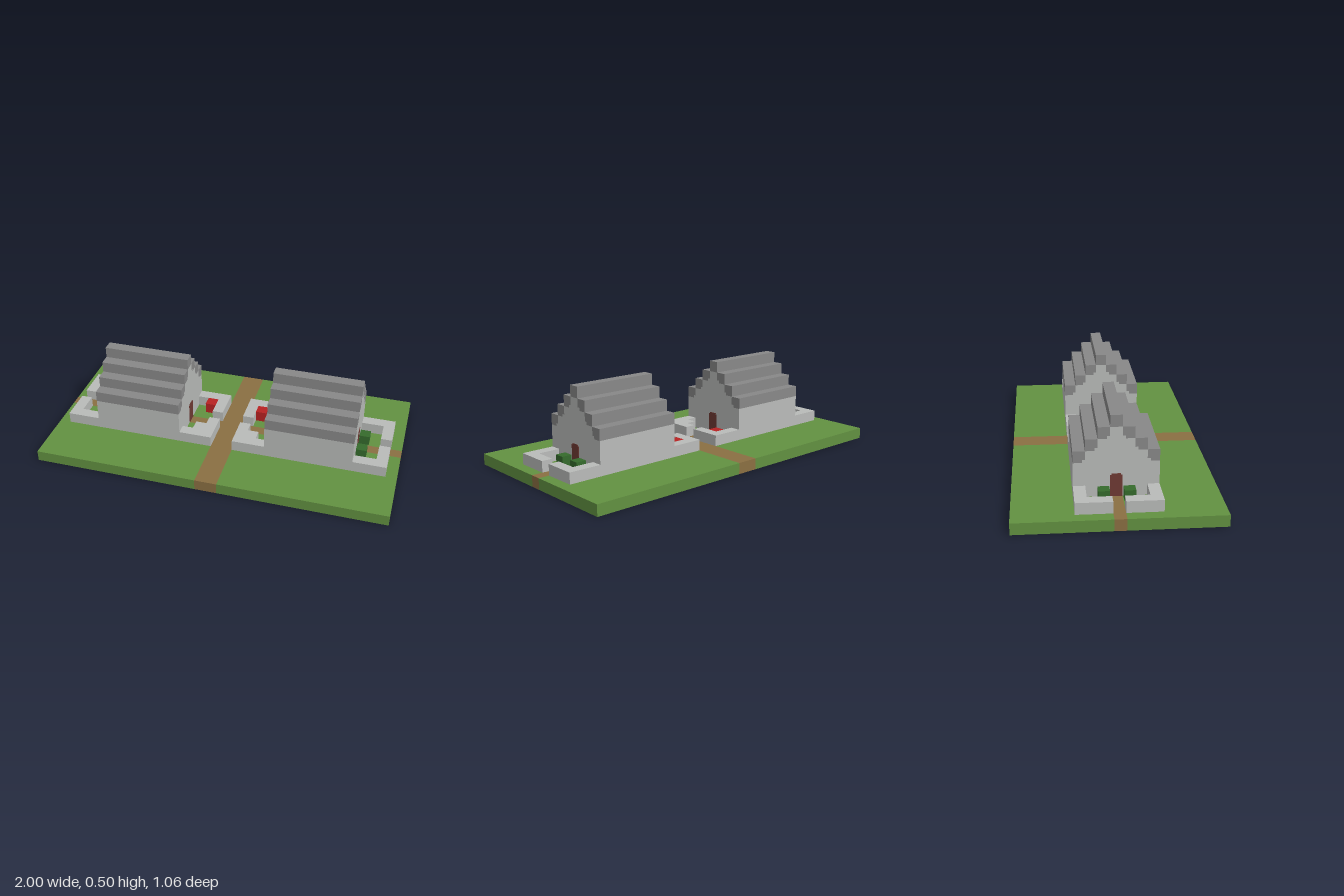
import * as THREE from 'three';

const material = (name, color) => {
  const m = new THREE.MeshStandardMaterial({ color });
  m.name = name;
  return m;
};

export function createModel() {
  const grass = material('grass', 0x629141);
  const dirt = material('dirt', 0x8a6f42);
  const stone = material('pale stone', 0xb9bbb9);
  const slate = material('dark slate', 0x888888);
  const wood = material('red brown wood', 0x6f3a33);
  const red = material('red', 0xb82222);
  const leaf = material('dark leaf', 0x356b2c);

  const model = new THREE.Group();
  model.name = 'twoHouses';
  const U = 0.0625; // building block size
  const H = U / 2;
  const N = U / 4; // small notch
  const W = 3.5 * U; // half width of a house

  const add = (parent, name, geometry, mat) => {
    const mesh = new THREE.Mesh(geometry, mat);
    mesh.name = name;
    parent.add(mesh);
    return mesh;
  };

  // Box between two corners; side mirrors it across x
  const box = (parent, name, mat, side, [x0, x1], [y0, y1], [z0, z1]) => {
    const mesh = add(parent, name, new THREE.BoxGeometry(x1 - x0, y1 - y0, z1 - z0), mat);
    mesh.position.set(side * (x0 + x1) / 2, (y0 + y1) / 2, (z0 + z1) / 2);
  };

  // Outline in z and y, extruded along x
  const slab = (parent, name, mat, side, points, [x0, x1]) => {
    const shape = new THREE.Shape(points.map(([z, y]) => new THREE.Vector2(z, y)));
    const geometry = new THREE.ExtrudeGeometry(shape, { depth: x1 - x0, bevelEnabled: false });
    geometry.rotateY(Math.PI / 2);
    add(parent, name, geometry, mat).position.x = side > 0 ? x0 : -x1;
  };

  // Main path between the two plots
  box(model, 'mainPath', dirt, 1, [-U, U], [0, U], [-8.5 * U, 8.5 * U]);

  // Gable outline, stepping up to the ridge
  const half = [[W, U], [W, 4 * U]];
  for (let i = 0; i < 3; i++) {
    const z = W - (i + 1) * U, y = (4 + i) * U;
    half.push([z + N, y], [z + N, y + N], [z, y + N], [z, y + U]);
  }
  const gable = [...half, ...half.slice().reverse().map(([z, y]) => [-z, y])];

  for (const s of [1, -1]) {
    const plot = new THREE.Group();
    plot.name = s > 0 ? 'leftPlot' : 'rightPlot';
    model.add(plot);

    // Ground and side paths
    for (const [x0, x1] of [[U, 0.25], [0.75, 1]]) {
      box(plot, 'sidePath', dirt, s, [x0, x1], [0, U], [-H, H]);
    }
    for (const x0 of [0.25, 0.75 - U]) {
      box(plot, 'grassUnderGable', grass, s, [x0, x0 + U], [0, U], [-2.5 * U, 2.5 * U]);
    }
    for (const [a, b] of [[H, 2.5 * U], [-2.5 * U, -H]]) {
      box(plot, 'gardenGrass', grass, s, [U, 0.25], [0, U], [a, b]);
      box(plot, 'gardenGrass', grass, s, [0.75, 1], [0, U], [a, b]);
    }
    for (const [a, b] of [[2.5 * U, 8.5 * U], [-8.5 * U, -2.5 * U]]) {
      box(plot, 'lawn', grass, s, [U, 1], [0, U], [a, b]);
    }

    // House floor with a small opening
    const f0 = 0.25 + U, f1 = 0.75 - U, d = 2.5 * U;
    box(plot, 'floor', slate, s, [f0, 0.365], [0, U], [-d, d]);
    box(plot, 'floor', slate, s, [0.42, f1], [0, U], [-d, d]);
    box(plot, 'floor', slate, s, [0.365, 0.42], [0, U], [-0.065, d]);
    box(plot, 'floor', slate, s, [0.365, 0.42], [0, U], [-d, -0.115]);

    // Gable walls and doors
    for (const x0 of [0.25, 0.75 - U]) {
      slab(plot, 'gableWall', stone, s, gable, [x0, x0 + U]);
      slab(plot, 'door', wood, s, [
        [-H, U], [H, U], [H, 0.18], [H - 0.008, 0.18], [H - 0.008, 0.1875],
        [-H + 0.008, 0.1875], [-H + 0.008, 0.18], [-H, 0.18],
      ], [x0 - 0.002, x0 + U + 0.002]);
    }

    for (const m of [1, -1]) {
      const span = (a, b) => (m > 0 ? [a, b] : [-b, -a]);

      // Long house wall
      box(plot, 'longWall', stone, s, [f0, f1], [U, 4 * U], span(d, W));

      // Stepped roof, notched where it meets the gable
      for (let i = 0; i < 3; i++) {
        const z1 = W - i * U, z0 = z1 - U, y = (4 + i) * U;
        const step = [[z0 + N, y], [z1, y], [z1, y + U], [z0, y + U], [z0, y + N], [z0 + N, y + N]];
        slab(plot, 'roofStep', slate, s, step.map(([z, v]) => [z * m, v]), [0.25, 0.75]);
      }

      // Garden walls
      box(plot, 'outerGardenWall', stone, s, [0.75, 0.9375], [U, 2 * U], span(d, W));
      box(plot, 'outerGardenWall', stone, s, [0.875, 0.9375], [U, 2 * U], span(H, d));
      box(plot, 'innerGardenWall', stone, s, [U, 0.25], [U, 2 * U], span(d, W));
      box(plot, 'innerGardenWall', stone, s, [U, 2 * U], [U, 2 * U], span(H, d));

      // Bush beside the outer door
      box(plot, 'bush', leaf, s, [0.752, 0.81], [U, 0.12], span(0.036, 0.095));
    }
    box(plot, 'roofRidge', slate, s, [0.25, 0.75], [7 * U, 8 * U], [-H, H]);

    // Inner garden corners: a stone block and a red box
    box(plot, 'cornerBlock', stone, s, [2 * U, 3 * U], [U, 2 * U], [1.5 * U, d]);
    box(plot, 'redBox', red, s, [2 * U, 3 * U], [U, 2 * U], [-d, -1.5 * U]);
  }
  return model;
}
